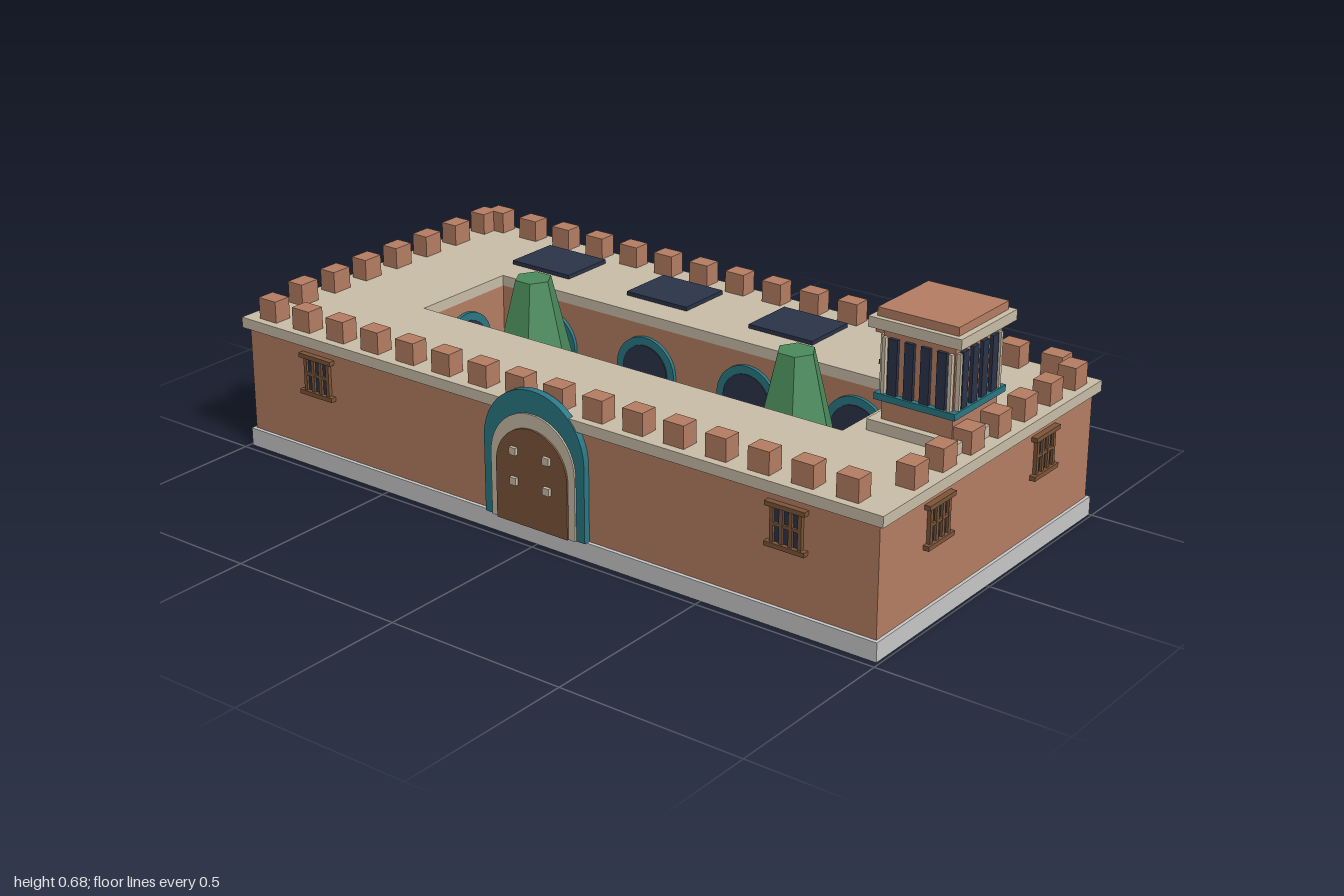
import * as THREE from 'three';

const mat = (name, color) => {
  const m = new THREE.MeshStandardMaterial({ color });
  m.name = name;
  return m;
};
const brick = mat('terracotta', 0xb57d62);
const sand = mat('sandstone', 0xc9bda8);
const stone = mat('grey stone', 0xc8c8c8);
const navy = mat('dark blue glass', 0x2b3349);
const teal = mat('teal tile', 0x2a7784);
const wood = mat('brown wood', 0x7d5539);
const green = mat('leaf green', 0x4b8b5c);

const CZ = -0.016; // courtyard centre in z

function add(parent, name, geo, material, x = 0, y = 0, z = 0) {
  const m = new THREE.Mesh(geo, material);
  m.name = name;
  m.position.set(x, y, z);
  parent.add(m);
  return m;
}

// box given by its centre in x and z and its bottom and top in y
function block(parent, name, material, x, z, w, d, y0, y1) {
  return add(parent, name, new THREE.BoxGeometry(w, y1 - y0, d), material, x, (y0 + y1) / 2, z);
}

function group(parent, name, x = 0, y = 0, z = 0, turn = 0) {
  const g = new THREE.Group();
  g.name = name;
  g.position.set(x, y, z);
  g.rotation.y = turn;
  parent.add(g);
  return g;
}

function prism(parent, name, material, rTop, rBottom, sides, x, z, y0, y1, turn = 0) {
  const geo = new THREE.CylinderGeometry(rTop, rBottom, y1 - y0, sides).toNonIndexed();
  geo.computeVertexNormals();
  add(parent, name, geo, material, x, (y0 + y1) / 2, z).rotation.y = turn;
}

// rectangular slab around the courtyard opening
function ringSlab(parent, name, material, hx, z0, z1, y0, y1) {
  const s = new THREE.Shape([[-hx, z0], [hx, z0], [hx, z1], [-hx, z1]].map(p => new THREE.Vector2(...p)));
  const [a, b, c] = [0.665, CZ - 0.16, CZ + 0.16];
  s.holes.push(new THREE.Path([[-a, b], [-a, c], [a, c], [a, b]].map(p => new THREE.Vector2(...p))));
  const geo = new THREE.ExtrudeGeometry(s, { depth: y1 - y0, bevelEnabled: false });
  add(parent, name, geo.rotateX(Math.PI / 2), material, 0, y1, 0);
}

// round-headed panel standing on y = 0 and facing +z
function archPanel(parent, name, material, r, spring, y, z, depth) {
  const s = new THREE.Shape();
  s.moveTo(-r, 0);
  s.lineTo(r, 0);
  s.lineTo(r, spring);
  s.absarc(0, spring, r, 0, Math.PI, false);
  s.lineTo(-r, 0);
  const geo = new THREE.ExtrudeGeometry(s, { depth, bevelEnabled: false, curveSegments: 14 });
  add(parent, name, geo, material, 0, y, z);
}

// barred window facing +z
function barredWindow(parent, x, z, turn) {
  const g = group(parent, 'window', x, 0, z, turn);
  block(g, 'windowGlass', navy, 0, 0.002, 0.08, 0.005, 0.21, 0.31);
  block(g, 'windowLintel', wood, 0, 0.008, 0.112, 0.016, 0.304, 0.316);
  block(g, 'windowSill', wood, 0, 0.008, 0.112, 0.016, 0.203, 0.215);
  block(g, 'windowCrossbar', wood, 0, 0.006, 0.08, 0.009, 0.257, 0.265);
  for (let i = 0; i < 4; i++) {
    block(g, 'windowBar', wood, -0.039 + i * 0.026, 0.006, 0.01, 0.01, 0.21, 0.31);
  }
}

// courtyard arch facing +z
function courtArch(parent, x, z, turn) {
  const g = group(parent, 'courtyardArch', x, 0, z, turn);
  archPanel(g, 'archSurround', teal, 0.095, 0.16, 0.05, 0, 0.01);
  archPanel(g, 'archOpening', navy, 0.073, 0.16, 0.05, 0.01, 0.003);
}

function buildTower(parent) {
  const t = group(parent, 'tower', 0.832, 0, -0.013);
  block(t, 'towerPlinth', sand, 0, 0, 0.25, 0.24, 0.365, 0.395);
  block(t, 'towerBody', brick, 0, 0, 0.195, 0.2, 0.365, 0.64);
  block(t, 'towerBand', teal, 0, 0, 0.222, 0.23, 0.447, 0.464);
  block(t, 'towerCornice', sand, 0, 0, 0.252, 0.248, 0.628, 0.655);
  block(t, 'towerCap', brick, 0, 0, 0.22, 0.22, 0.655, 0.677);
  for (let s = 0; s < 4; s++) {
    const face = group(t, 'towerFace', 0, 0, 0, s * Math.PI / 2);
    const out = s % 2 ? 0.0975 : 0.1;
    for (let i = 0; i < 4; i++) {
      block(face, 'towerWindow', navy, -0.066 + i * 0.044, out + 0.004, 0.025, 0.01, 0.464, 0.605);
    }
    for (const x of [-0.09, 0.09]) {
      block(face, 'towerPost', sand, x, out + 0.005, 0.009, 0.012, 0.464, 0.605);
    }
  }
}

function buildGate(parent) {
  const g = group(parent, 'gate', 0, 0, 0.468);
  archPanel(g, 'gateSurround', teal, 0.158, 0.202, 0.05, 0, 0.02);
  archPanel(g, 'gateTrim', sand, 0.132, 0.168, 0.05, 0.02, 0.005);
  archPanel(g, 'gateDoor', wood, 0.112, 0.15, 0.05, 0.025, 0.005);
  for (const x of [-0.052, 0.052]) {
    for (const y of [0.165, 0.245]) block(g, 'gateStud', sand, x, 0.034, 0.02, 0.01, y - 0.01, y + 0.01);
  }
}

function buildCourtyard(parent) {
  const c = group(parent, 'courtyard', 0, 0, CZ);
  block(c, 'courtyardTiles', teal, 0, 0, 1.33, 0.32, 0.045, 0.056);
  block(c, 'lawn', green, 0, 0, 1.27, 0.26, 0.05, 0.062);
  // fountain
  prism(c, 'fountainBasin', stone, 0.096, 0.096, 8, 0, 0, 0.06, 0.1);
  prism(c, 'fountainWater', teal, 0.08, 0.08, 8, 0, 0, 0.09, 0.103);
  prism(c, 'fountainBowl', stone, 0.052, 0.035, 8, 0, 0, 0.1, 0.15);
  prism(c, 'fountainSpout', stone, 0.014, 0.014, 8, 0, 0, 0.15, 0.18);
  for (const sx of [-1, 1]) {
    prism(c, 'treeTrunk', wood, 0.025, 0.03, 6, sx * 0.42, 0, 0.06, 0.25);
    prism(c, 'treeCrown', green, 0.05, 0.105, 6, sx * 0.42, 0, 0.24, 0.46, Math.PI / 6);
    courtArch(c, sx * 0.665, 0, -sx * Math.PI / 2);
    for (const sz of [-1, 1]) {
      block(c, 'planter', stone, sx * 0.618, sz * 0.115, 0.09, 0.088, 0.05, 0.11);
      prism(c, 'planterBush', green, 0.022, 0.048, 6, sx * 0.618, sz * 0.115, 0.11, 0.21, Math.PI / 6);
      for (const x of [0.165, 0.5]) courtArch(c, sx * x, sz * 0.16, sz > 0 ? Math.PI : 0);
    }
  }
}

export function createModel() {
  const model = new THREE.Group();
  model.name = 'courtyardFort';

  block(model, 'foundation', stone, 0, -0.01, 1.985, 0.98, 0, 0.05);
  ringSlab(model, 'walls', brick, 0.984, -0.49, 0.47, 0.05, 0.337);
  ringSlab(model, 'roofSlab', sand, 1, -0.506, 0.484, 0.337, 0.366);
  buildCourtyard(model);
  buildGate(model);
  buildTower(model);

  // battlements along the four edges
  for (let i = 0; i < 16; i++) {
    const x = -0.925 + i * 0.121;
    block(model, 'frontMerlon', brick, x, 0.437, 0.06, 0.05, 0.366, 0.425);
    block(model, 'backMerlon', brick, x, -0.47, 0.06, 0.05, 0.366, 0.425);
  }
  for (let i = 0; i < 7; i++) {
    for (const x of [-0.956, 0.956]) {
      block(model, 'sideMerlon', brick, x, -0.433 + i * 0.122, 0.05, 0.06, 0.366, 0.425);
    }
  }

  // dark roof panels
  for (let i = 0; i < 4; i++) {
    block(model, 'roofPanel', navy, -0.603 + i * 0.402, -0.343, 0.2, 0.162, 0.366, 0.377);
  }

  // outer windows
  for (const s of [-1, 1]) {
    barredWindow(model, s * 0.738, 0.47, 0);
    for (const x of [0.25, 0.742]) barredWindow(model, s * x, -0.49, Math.PI);
    for (const z of [0.23, -0.25]) barredWindow(model, s * 0.984, z, s * Math.PI / 2);
  }
  return model;
}
